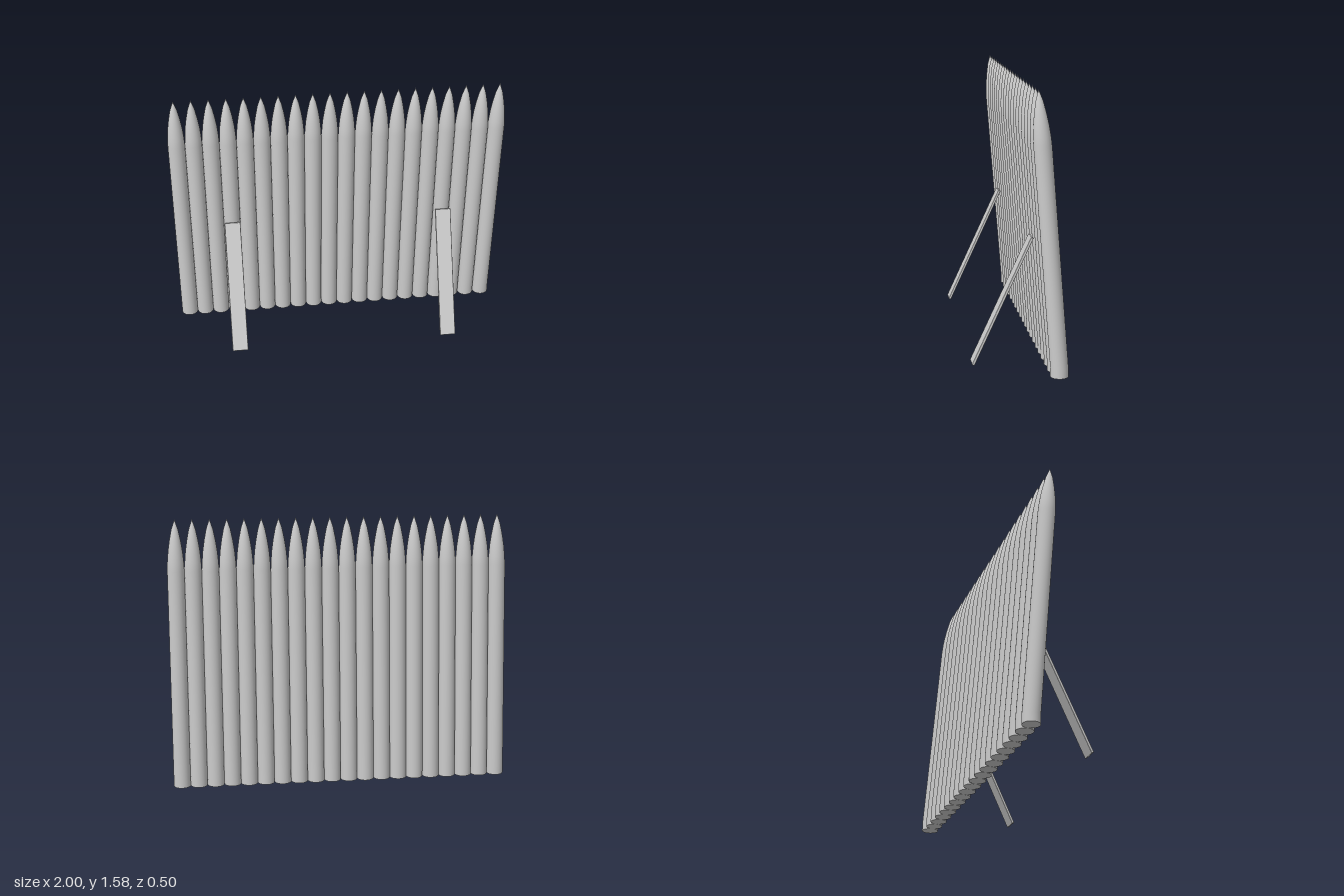
import * as THREE from 'three';
import { RoundedBoxGeometry } from 'three/addons/geometries/RoundedBoxGeometry.js';

const material = new THREE.MeshStandardMaterial({ color: 0xcccccc });

// Lean a stake forward above its short upright foot
function lean(geometry) {
  const p = geometry.attributes.position;
  for (let i = 0; i < p.count; i++) {
    p.setZ(i, p.getZ(i) + 0.082 * Math.max(0, p.getY(i) - 0.06));
  }
  return geometry;
}

export function createModel() {
  const group = new THREE.Group();
  group.name = 'palisade';

  // Round stake with a curved, pointed tip
  const profile = [
    [0.05, 0.01], [0.05, 0.06], [0.05, 1.29], [0.0475, 1.34], [0.042, 1.4],
    [0.033, 1.46], [0.02, 1.525], [0, 1.585],
  ].map(([r, y]) => new THREE.Vector2(r, y));
  const stakeGeometry = lean(new THREE.LatheGeometry(profile, 24));
  const footGeometry = new THREE.CircleGeometry(0.05, 24).rotateX(Math.PI / 2).translate(0, 0.01, 0);

  // Row of stakes
  const count = 20;
  for (let i = 0; i < count; i++) {
    const stake = new THREE.Group();
    stake.name = `stake${i + 1}`;
    const shaft = new THREE.Mesh(stakeGeometry, material);
    shaft.name = 'stakeShaft';
    const foot = new THREE.Mesh(footGeometry, material);
    foot.name = 'stakeFoot';
    stake.add(shaft, foot);
    stake.position.set(-0.95 + i * 0.1, 0, -0.2);
    group.add(stake);
  }

  // Two sloping plank braces in front
  const bottom = new THREE.Vector2(0.243, 0.004);
  const top = new THREE.Vector2(-0.09, 0.73);
  const braceGeometry = new RoundedBoxGeometry(0.096, bottom.distanceTo(top), 0.016, 2, 0.004);
  for (const side of [-1, 1]) {
    const brace = new THREE.Mesh(braceGeometry, material);
    brace.name = side > 0 ? 'leftBrace' : 'rightBrace';
    brace.position.set(side * 0.65, (bottom.y + top.y) / 2, (bottom.x + top.x) / 2);
    brace.rotation.x = Math.atan2(top.x - bottom.x, top.y - bottom.y);
    group.add(brace);
  }
  return group;
}
